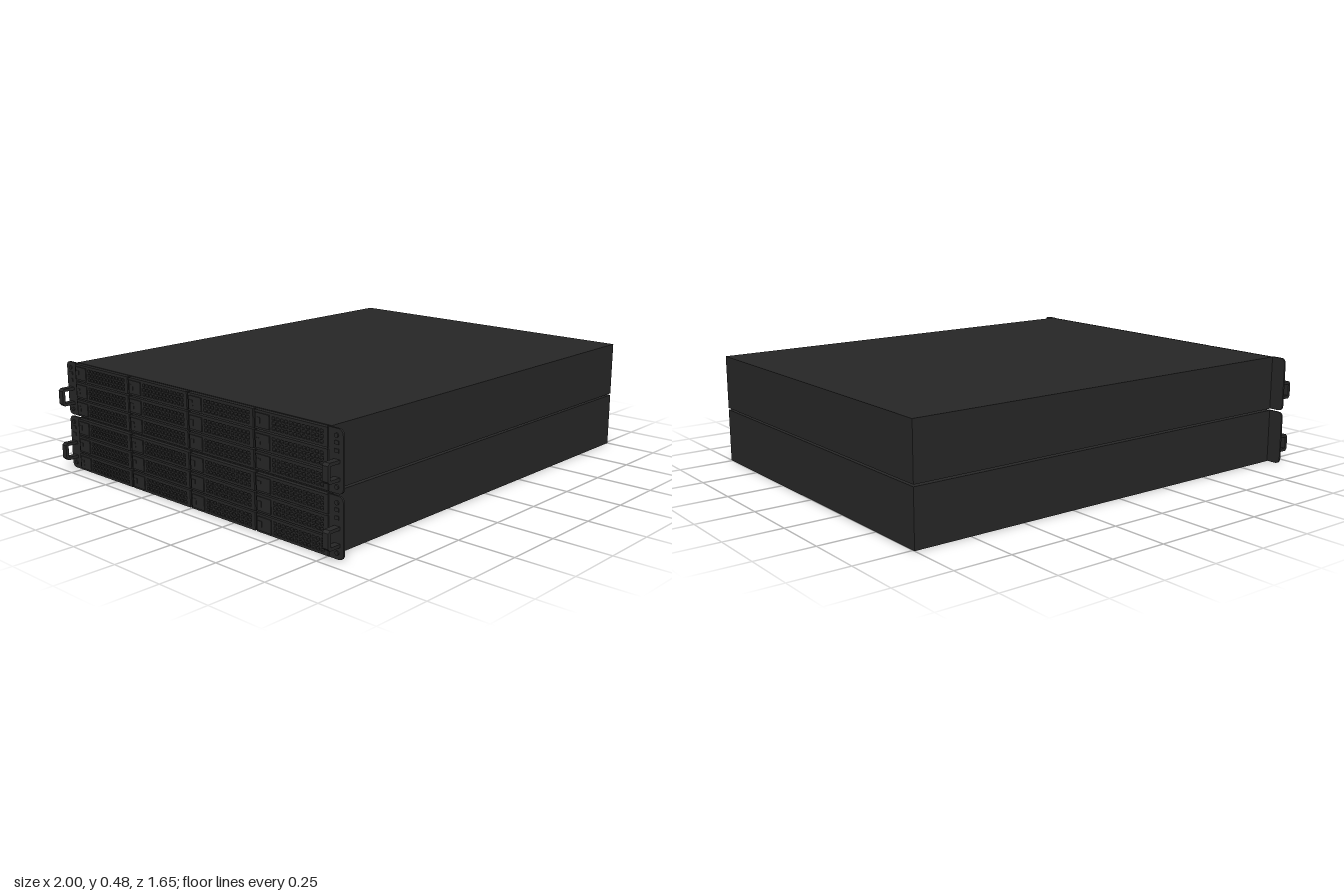
import * as THREE from 'three';

const material = new THREE.MeshStandardMaterial({ color: 0x262626 });

function add(parent, name, geometry, x = 0, y = 0, z = 0) {
  const mesh = new THREE.Mesh(geometry, material);
  mesh.name = name;
  mesh.position.set(x, y, z);
  parent.add(mesh);
  return mesh;
}

// Adds a box given by its minimum and maximum corners
function addBox(parent, name, [x0, y0, z0], [x1, y1, z1]) {
  return add(parent, name, new THREE.BoxGeometry(x1 - x0, y1 - y0, z1 - z0),
    (x0 + x1) / 2, (y0 + y1) / 2, (z0 + z1) / 2);
}

// Clockwise rectangular hole
function rectHole(x, y, w, h) {
  return new THREE.Path([[x, y], [x, y + h], [x + w, y + h], [x + w, y]]
    .map(([a, b]) => new THREE.Vector2(a, b)));
}

// Extrudes a shape drawn in (z, y) towards -x
function extrudeToFace(shape, depth) {
  return new THREE.ExtrudeGeometry(shape, { depth, bevelEnabled: false, curveSegments: 6 })
    .rotateY(-Math.PI / 2);
}

const H = 0.238;        // height of one unit
const PITCH = 0.246;    // spacing of the stacked units
const HALF = 0.76;      // half width of the chassis
const COLS = 4, ROWS = 3;
const TRAY_W = 2 * HALF / COLS, TRAY_H = H / ROWS;

// Drive tray face with rows of ventilation slots
function trayGeometry() {
  const w = TRAY_W - 0.008, h = TRAY_H - 0.006;
  const shape = new THREE.Shape([[0, 0], [w, 0], [w, h], [0, h]]
    .map(([a, b]) => new THREE.Vector2(a, b)));
  for (let i = 0; i < 12; i++)
    for (let j = 0; j < 3; j++)
      shape.holes.push(rectHole(0.094 + i * 0.022, 0.01 + j * 0.019, 0.015, 0.013));
  return extrudeToFace(shape, 0.018);
}

// Mounting ear with rounded outer corners
function earGeometry(side) {
  const inner = side * (HALF - 0.01), outer = side * 0.825, r = 0.025;
  const s = new THREE.Shape();
  s.moveTo(inner, 0);
  s.lineTo(outer - side * r, 0);
  s.quadraticCurveTo(outer, 0, outer, r);
  s.lineTo(outer, H - r);
  s.quadraticCurveTo(outer, H, outer - side * r, H);
  s.lineTo(inner, H);
  return extrudeToFace(s, 0.008);
}

// C-shaped pull handle, open towards the ear
function handleGeometry() {
  const s = new THREE.Shape();
  s.moveTo(0, 0.048);
  s.lineTo(-0.052, 0.048);
  s.lineTo(-0.062, 0.058);
  s.lineTo(-0.062, 0.116);
  s.lineTo(-0.052, 0.126);
  s.lineTo(0, 0.126);
  s.lineTo(0, 0.113);
  s.lineTo(-0.049, 0.113);
  s.lineTo(-0.049, 0.061);
  s.lineTo(0, 0.061);
  return new THREE.ExtrudeGeometry(s, { depth: 0.028, bevelEnabled: false });
}

function createUnit() {
  const unit = new THREE.Group();
  addBox(unit, 'chassis', [-0.927, 0, -HALF], [1, H, HALF]);

  // Drive bays: vented tray, latch lever and release button
  const tray = trayGeometry();
  for (let c = 0; c < COLS; c++) {
    for (let r = 0; r < ROWS; r++) {
      const bay = new THREE.Group();
      bay.name = 'driveBay';
      bay.position.set(-0.927, r * TRAY_H + 0.003, -HALF + c * TRAY_W + 0.004);
      add(bay, 'driveTray', tray);
      addBox(bay, 'latchLever', [-0.022, 0.008, 0.008], [-0.015, 0.064, 0.082]);
      addBox(bay, 'releaseButton', [-0.024, 0.024, 0.014], [-0.02, 0.048, 0.034]);
      unit.add(bay);
    }
  }

  // Ears with handles, screws and small controls
  const handle = handleGeometry();
  const knob = new THREE.CylinderGeometry(0.009, 0.009, 0.006, 12).rotateZ(Math.PI / 2);
  for (const side of [-1, 1]) {
    add(unit, 'mountingEar', earGeometry(side), -0.931);
    add(unit, 'pullHandle', handle, -0.938, 0, side * 0.795 - 0.014);
    for (const y of [0.025, 0.213]) add(unit, 'earScrew', knob, -0.941, y, side * 0.795);
    for (const y of [0.15, 0.18])
      addBox(unit, 'earControl', [-0.942, y, side * 0.795 - 0.01], [-0.938, y + 0.014, side * 0.795 + 0.01]);
  }
  return unit;
}

export function createModel() {
  const model = new THREE.Group();
  model.name = 'stackedRackUnits';
  ['lowerUnit', 'upperUnit'].forEach((name, i) => {
    const unit = createUnit();
    unit.name = name;
    unit.position.y = i * PITCH;
    model.add(unit);
  });
  return model;
}
